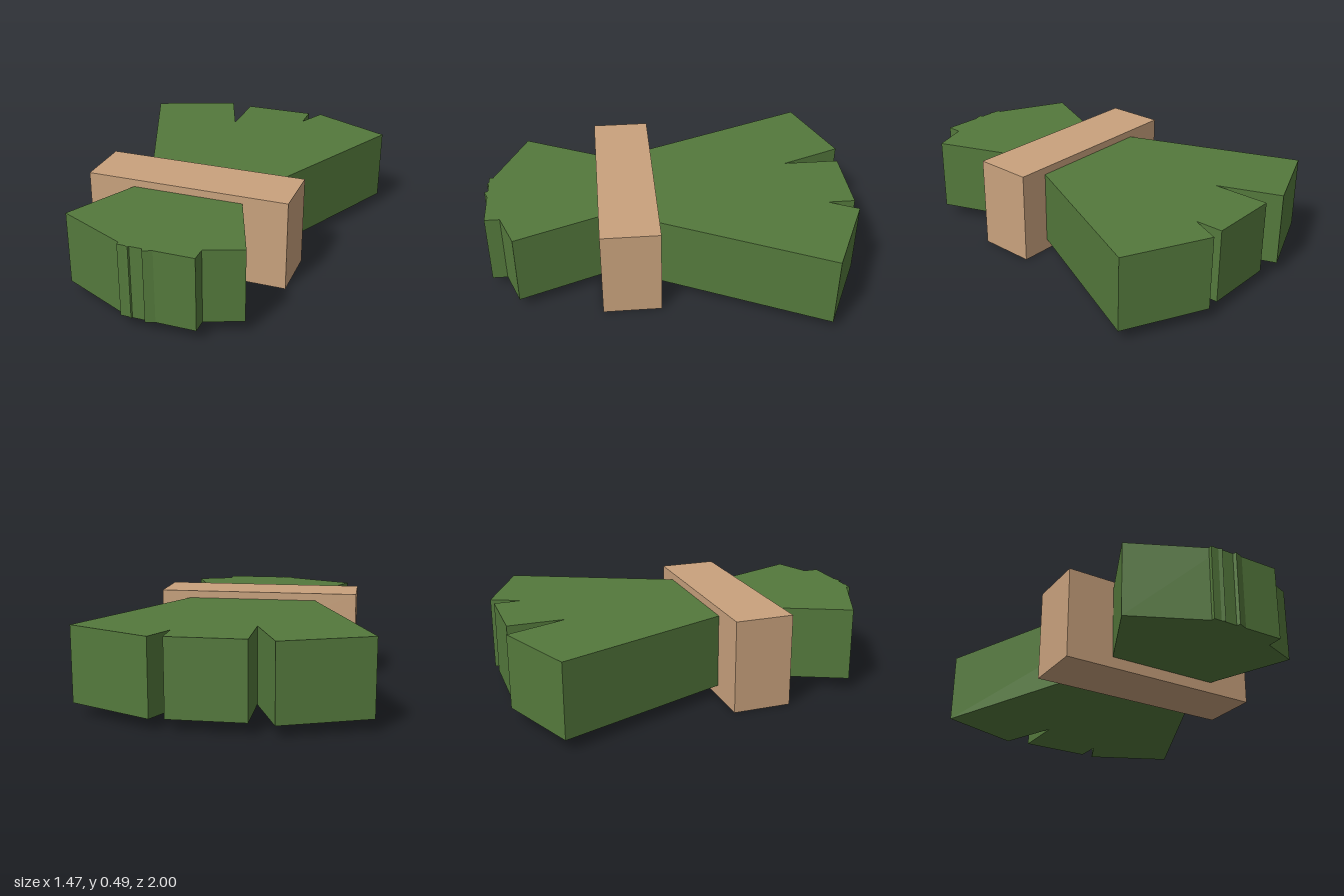
import * as THREE from 'three';

export function createModel() {
  const group = new THREE.Group();
  const green = new THREE.MeshStandardMaterial({ color: 0x54793c });
  green.name = 'leaf green';
  const tan = new THREE.MeshStandardMaterial({ color: 0xc9a27d });
  tan.name = 'twine tan';

  const box = (name, material, size, position, turn = 0) => {
    const mesh = new THREE.Mesh(new THREE.BoxGeometry(...size), material);
    mesh.name = name;
    mesh.position.set(...position);
    mesh.rotation.y = turn;
    group.add(mesh);
  };

  // Three stalks crossing inside the band, fanned out at both ends
  box('middleStalk', green, [0.39, 0.39, 1.955], [0.03, 0.255, -0.003]);
  box('rightStalk', green, [0.477, 0.39, 1.955], [-0.16, 0.255, -0.005], 0.369);
  box('leftStalk', green, [0.48, 0.39, 1.955], [0.096, 0.255, -0.003], -0.443);

  // Band tying the bundle
  box('band', tan, [1.095, 0.49, 0.31], [-0.0625, 0.245, 0.23]);

  return group;
}
